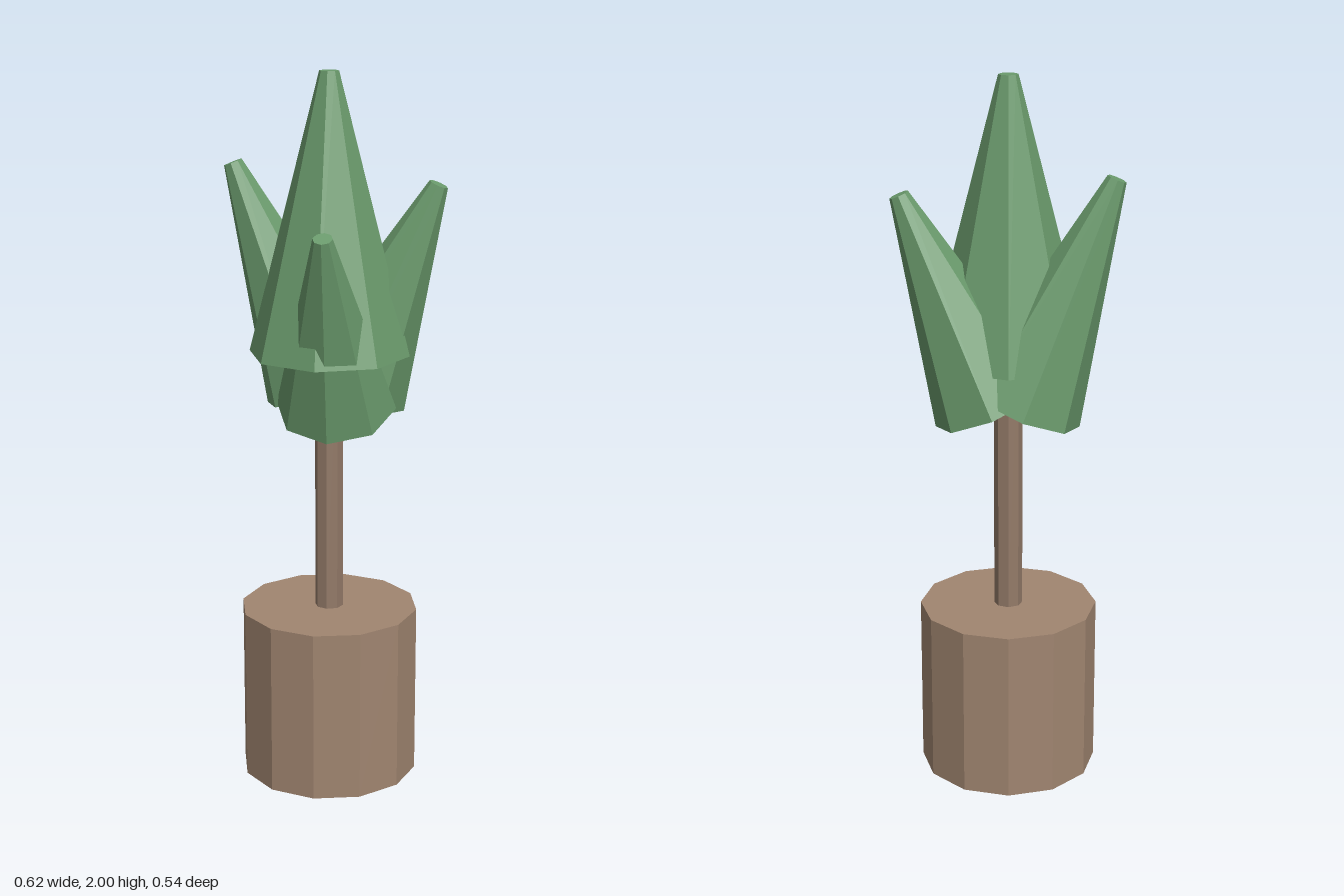
import * as THREE from 'three';

const CX = -0.003, CZ = -0.005; // axis of the trunk and pot

export function createModel() {
  const group = new THREE.Group();
  const material = (color) => new THREE.MeshStandardMaterial({ color, flatShading: true });
  const clay = material(0xa08570);
  const bark = material(0x937a68);
  const leaf = material(0x6a9a6c);

  // Tapered prism running from a base centre to a tip centre
  function taper(name, from, to, rBase, rTip, sides, mat) {
    const a = new THREE.Vector3(...from);
    const b = new THREE.Vector3(...to);
    const axis = b.clone().sub(a);
    const mesh = new THREE.Mesh(new THREE.CylinderGeometry(rTip, rBase, axis.length(), sides), mat);
    mesh.name = name;
    mesh.position.copy(a).add(b).multiplyScalar(0.5);
    mesh.quaternion.setFromUnitVectors(new THREE.Vector3(0, 1, 0), axis.normalize());
    group.add(mesh);
  }

  // Pot and trunk
  taper('pot', [CX, 0, CZ], [CX, 0.49, CZ], 0.252, 0.252, 12, clay);
  taper('trunk', [CX, 0.49, CZ], [CX, 1.3, CZ], 0.04, 0.04, 8, bark);

  // Upright crown
  taper('crown', [CX, 1.23, CZ], [CX, 2, CZ], 0.225, 0.027, 8, leaf);

  // Leaning side cones: base centre, tip centre, base radius
  const cones = [
    ['rightFoliage', [-0.04, 1.12, -0.1], [-0.288, 1.74, -0.09], 0.17],
    ['leftFoliage', [0.04, 1.12, -0.085], [0.286, 1.695, -0.076], 0.17],
    ['frontFoliage', [0.02, 1.087, 0.012], [0.024, 1.592, 0.244], 0.168],
  ];
  for (const [name, from, to, r] of cones) taper(name, from, to, r, 0.027, 8, leaf);

  return group;
}
